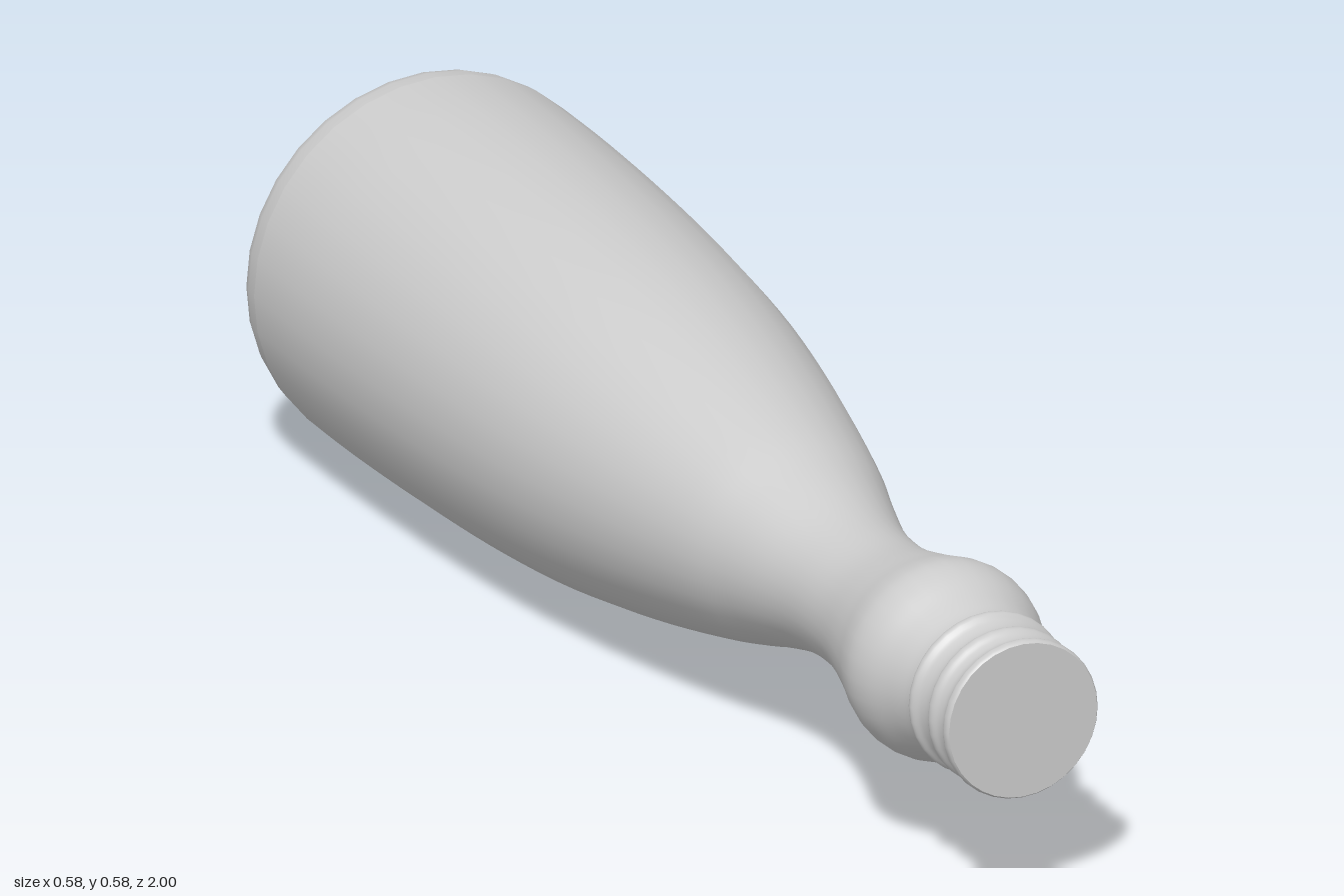
import * as THREE from 'three';

const SIDES = 32;
const AXIS_HEIGHT = 0.293;

// Turned part: [radius, z] pairs running from the back to the front
function turned(name, pairs, material, smoothSteps = 0) {
  let points = pairs.map(([r, z]) => new THREE.Vector2(r, z));
  if (smoothSteps) points = new THREE.SplineCurve(points).getPoints(smoothSteps);
  const mesh = new THREE.Mesh(new THREE.LatheGeometry(points, SIDES), material);
  mesh.name = name;
  return mesh;
}

export function createModel() {
  const material = new THREE.MeshStandardMaterial({ color: 0xcccccc });
  const bottle = new THREE.Group();
  bottle.name = 'bottle';

  // Flat base and its rounded rim
  bottle.add(turned('base', [[0, -1], [0.264, -1]], material));
  bottle.add(turned('baseRim', [
    [0.264, -1], [0.276, -0.997], [0.284, -0.99], [0.288, -0.975], [0.291, -0.95],
  ], material));

  // Long tapered body, narrow waist and bulb below the neck
  bottle.add(turned('body', [
    [0.291, -0.95], [0.291, -0.8], [0.285, -0.6], [0.273, -0.4], [0.252, -0.2],
    [0.217, 0], [0.171, 0.2], [0.141, 0.3], [0.115, 0.4], [0.107, 0.48],
    [0.111, 0.56], [0.131, 0.65], [0.147, 0.705], [0.152, 0.74], [0.146, 0.775],
    [0.13, 0.815], [0.119, 0.85], [0.117, 0.868],
  ], material, 68));

  // Threaded neck with three rings
  bottle.add(turned('threadedNeck', [
    [0.117, 0.868], [0.124, 0.876], [0.125, 0.886], [0.117, 0.896], [0.113, 0.91],
    [0.114, 0.924], [0.121, 0.934], [0.121, 0.944], [0.115, 0.954], [0.113, 0.966],
    [0.116, 0.978], [0.122, 0.986], [0.122, 0.995], [0.119, 1],
  ], material, 52));

  // Closed mouth
  bottle.add(turned('mouth', [[0.119, 1], [0, 1]], material));

  // Lay the bottle on its side, mouth to the front
  bottle.rotation.x = Math.PI / 2;
  bottle.position.y = AXIS_HEIGHT;

  const model = new THREE.Group();
  model.add(bottle);
  return model;
}
